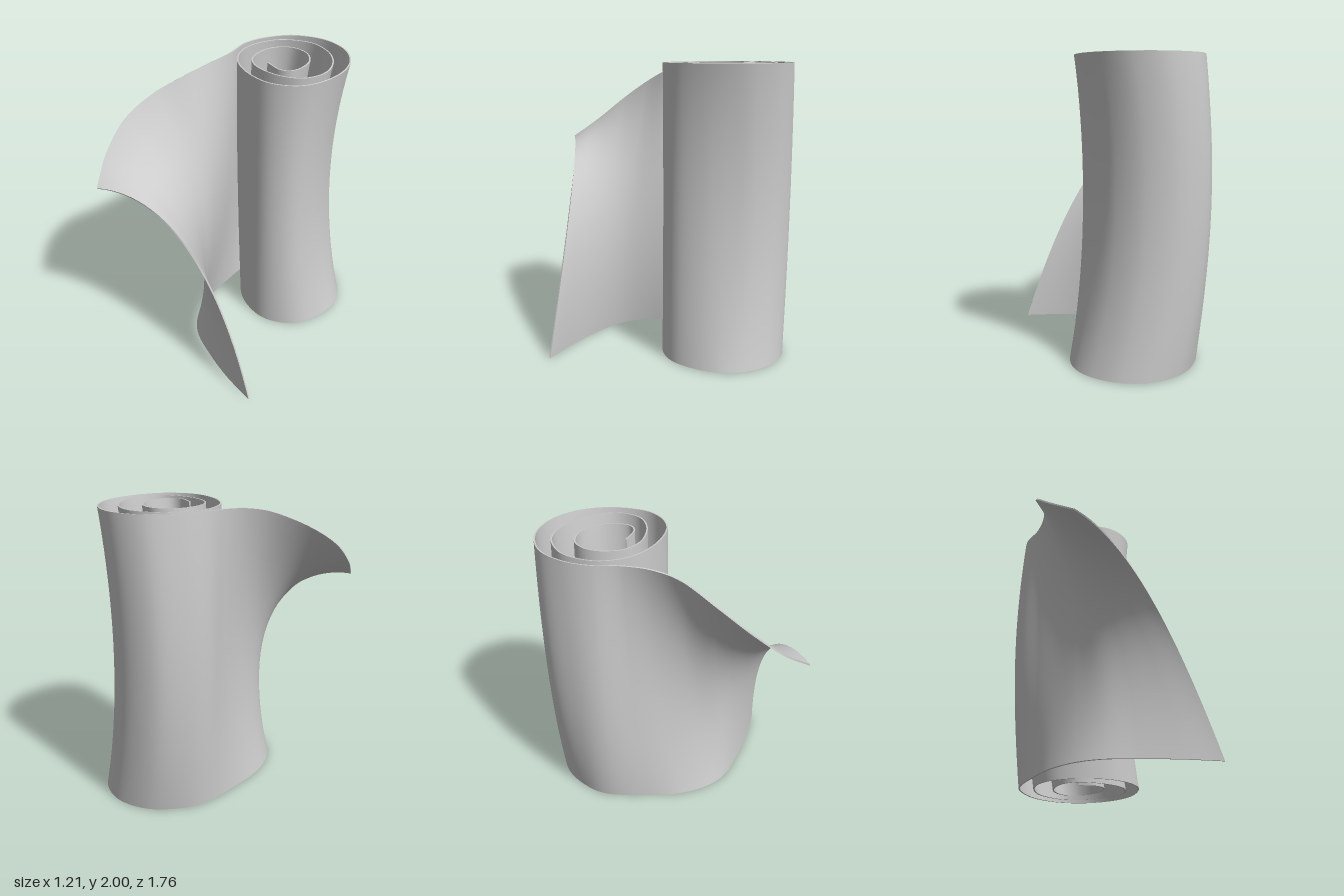
import * as THREE from 'three';
import { ParametricGeometry } from 'three/addons/geometries/ParametricGeometry.js';

const THICKNESS = 0.01;

// Loose flap: stations from the free edge to the roll, as [x, y, z]
const flapTop = [
  [-0.48, 1.4, 0.88], [-0.575, 1.54, 0.7], [-0.6, 1.7, 0.5], [-0.53, 1.835, 0.29],
  [-0.41, 1.935, 0.08], [-0.355, 1.975, -0.1], [-0.34, 1.99, -0.28],
];
const flapMiddle = [
  [0.14, 1.45, 0.58], [0.12, 1.36, 0.48], [0.1, 1.26, 0.38], [0.05, 1.16, 0.25],
  [-0.03, 1.08, 0.07], [-0.13, 1.03, -0.11], [-0.27, 1, -0.28],
];
const flapBottom = [
  [0.604, 0, 0.66], [0.35, 0, 0.6], [0.1, 0, 0.51], [-0.1, 0, 0.41],
  [-0.23, 0, 0.265], [-0.31, 0, 0.06], [-0.337, 0, -0.18],
];

// Rolled part: spiral of the top rim from the outside in, as [x, z]
const spiral = [
  [-0.36, -0.47], [-0.31, -0.65], [-0.18, -0.81], [0.03, -0.875], [0.23, -0.82],
  [0.37, -0.685], [0.435, -0.53], [0.445, -0.36], [0.4, -0.19], [0.3, -0.085],
  [0.15, -0.04], [-0.04, -0.085], [-0.2, -0.19], [-0.285, -0.33], [-0.3, -0.48],
  [-0.23, -0.65], [-0.1, -0.74], [0.04, -0.76], [0.2, -0.69], [0.32, -0.55],
  [0.365, -0.38], [0.3, -0.23], [0.15, -0.17], [-0.03, -0.19], [-0.145, -0.28],
  [-0.18, -0.42], [-0.145, -0.54], [-0.05, -0.61], [0.08, -0.59], [0.175, -0.49],
  [0.2, -0.37], [0.175, -0.28], [0.1, -0.25], [-0.02, -0.29],
];

// The roll bows sideways, most of all at its back and +x side
const bow = (x, z) => THREE.MathUtils.clamp(-1.6 * (z + 0.06) + 0.9 * x, 0, 1.15);

// tuck draws the -x side of the inner turns closer to the middle
function rowCurve(flap, y, shift, tuck) {
  const roll = spiral.map(([x, z], i) => {
    const inward = tuck * (i / spiral.length) * Math.max(0, 0.1 - x);
    return [x + shift * bow(x, z) + inward, y, z];
  });
  const points = [...flap, ...roll].map((p) => new THREE.Vector3(...p));
  return new THREE.CatmullRomCurve3(points, false, 'catmullrom', 0.5);
}

const bottomRow = rowCurve(flapBottom, 0, 0.065, 0.25);
const middleRow = rowCurve(flapMiddle, 1, -0.185, 0);
const topRow = rowCurve(flapTop, 2, 0, 0);

// Mid-surface: quadratic blend of the three rows, u along the sheet, v upward
function sheetPoint(u, v) {
  const w = 1 - v;
  return bottomRow.getPoint(u).multiplyScalar(w * w)
    .addScaledVector(middleRow.getPoint(u), 2 * w * v)
    .addScaledVector(topRow.getPoint(u), v * v);
}

// Point in the sheet's thickness, h from 0 (one face) to 1 (the other)
function solidPoint(u, v, h, target) {
  const e = 1e-4;
  const u0 = Math.max(u - e, 0), u1 = Math.min(u + e, 1);
  const v0 = Math.max(v - e, 0), v1 = Math.min(v + e, 1);
  const du = sheetPoint(u1, v).sub(sheetPoint(u0, v));
  const dv = sheetPoint(u, v1).sub(sheetPoint(u, v0));
  const normal = du.cross(dv).normalize();
  target.copy(sheetPoint(u, v)).addScaledVector(normal, (h - 0.5) * THICKNESS);
}

export function createModel() {
  const group = new THREE.Group();
  group.name = 'rolledSheet';
  const material = new THREE.MeshStandardMaterial({ color: 0xcccccc, side: THREE.DoubleSide });
  const along = 320, up = 28;

  const add = (name, fn, slices, stacks) => {
    const mesh = new THREE.Mesh(new ParametricGeometry(fn, slices, stacks), material);
    mesh.name = name;
    group.add(mesh);
  };

  // Two faces of the sheet
  add('firstFace', (a, b, t) => solidPoint(a, b, 1, t), along, up);
  add('secondFace', (a, b, t) => solidPoint(1 - a, b, 0, t), along, up);

  // Thin edges closing the sheet
  add('bottomEdge', (a, b, t) => solidPoint(a, 0, b, t), along, 1);
  add('topEdge', (a, b, t) => solidPoint(1 - a, 1, b, t), along, 1);
  add('flapEdge', (a, b, t) => solidPoint(0, b, a, t), 1, up);
  add('innerEdge', (a, b, t) => solidPoint(1, b, 1 - a, t), 1, up);

  return group;
}
